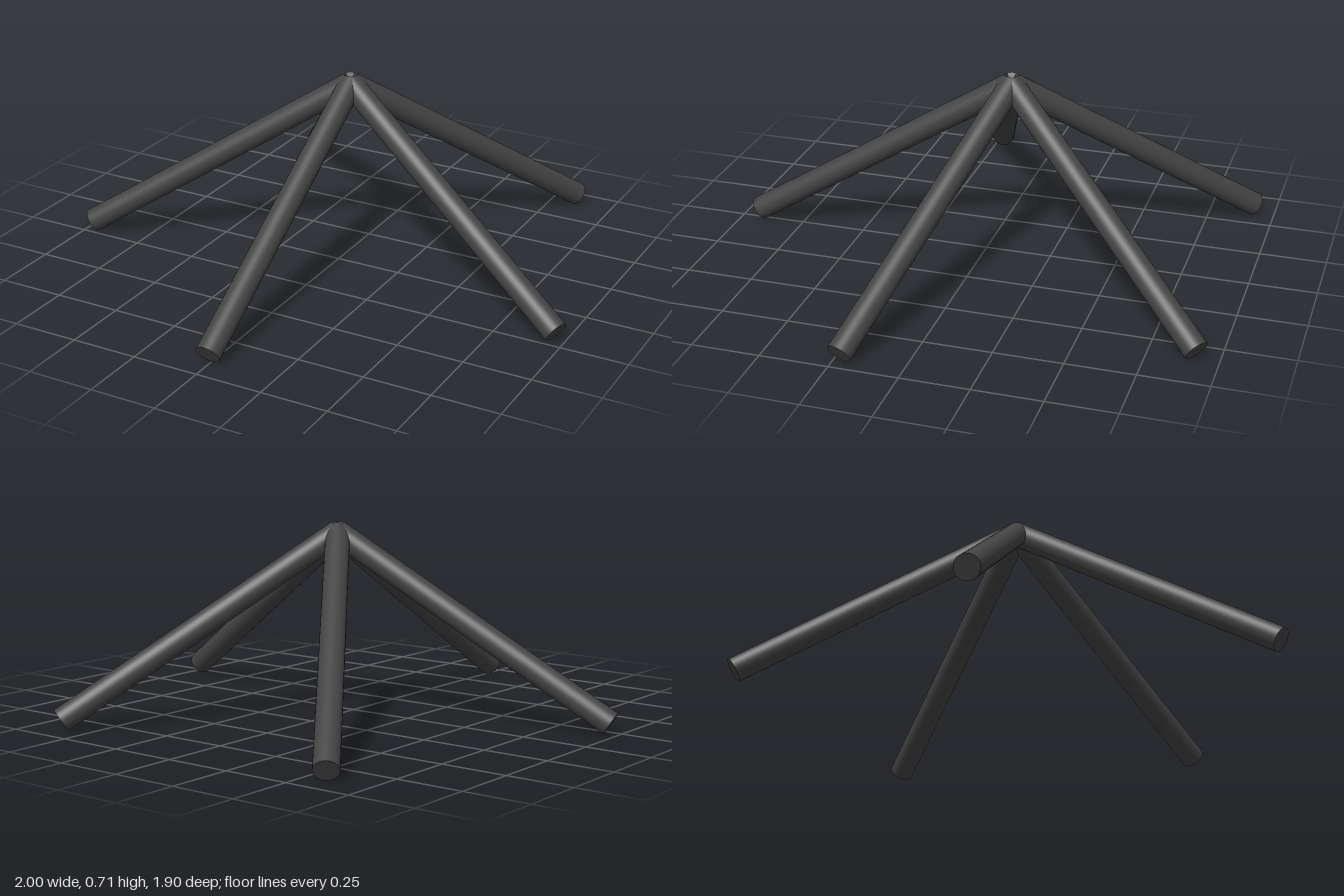
import * as THREE from 'three';

const RADIUS = 0.045;
const APEX = new THREE.Vector3(0, 0.676, -0.095);
const REACH = 1.021; // horizontal distance from apex to foot
const FOOT_Y = 0.038;

export function createModel() {
  const model = new THREE.Group();
  model.name = 'fiveLeggedStand';
  const material = new THREE.MeshStandardMaterial({ color: 0x444444 });
  const up = new THREE.Vector3(0, 1, 0);

  // Every leg is the same capped rod, leaning in to meet at the apex
  const length = Math.hypot(REACH, APEX.y - FOOT_Y);
  const rod = new THREE.CylinderGeometry(RADIUS, RADIUS, length, 32);
  const names = ['frontLeg', 'leftLeg', 'backLeftLeg', 'backRightLeg', 'rightLeg'];

  names.forEach((name, i) => {
    const angle = (i * Math.PI * 2) / names.length;
    const foot = new THREE.Vector3(
      Math.sin(angle) * REACH,
      FOOT_Y,
      APEX.z + Math.cos(angle) * REACH
    );
    const leg = new THREE.Mesh(rod, material);
    leg.name = name;
    leg.position.copy(foot).add(APEX).multiplyScalar(0.5);
    leg.quaternion.setFromUnitVectors(up, APEX.clone().sub(foot).normalize());
    model.add(leg);
  });

  return model;
}
